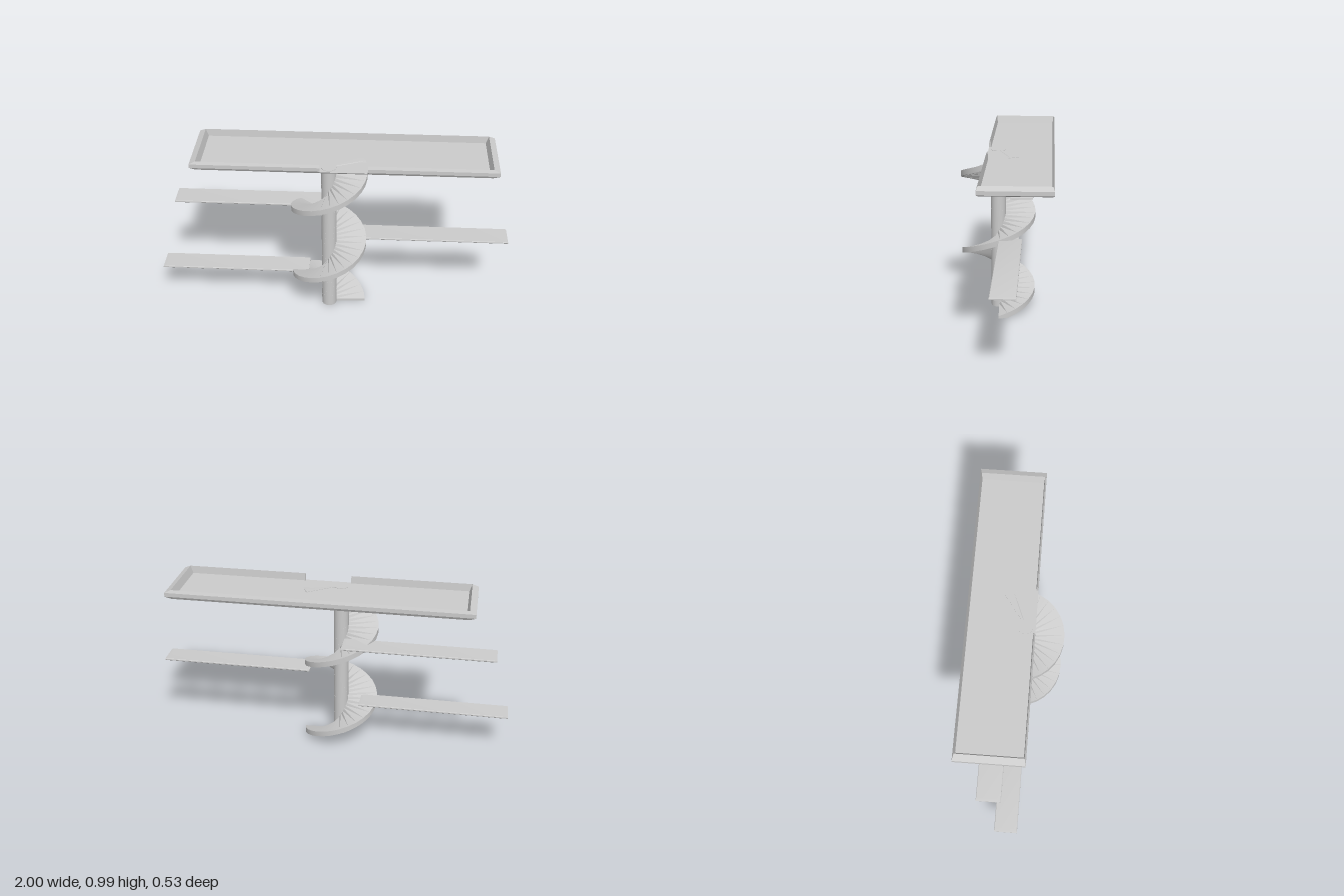
import * as THREE from 'three';
import { toCreasedNormals } from 'three/addons/utils/BufferGeometryUtils.js';

const material = new THREE.MeshStandardMaterial({ color: 0xcccccc, side: THREE.DoubleSide });
const CX = -0.022, CZ = 0.052; // stair axis

// Skin a stack of equal-length rings and close both ends.
function loft(rings, crease = 0.4) {
  const n = rings[0].length, last = (rings.length - 1) * n, index = [];
  for (let k = 0; k < rings.length - 1; k++) {
    for (let j = 0; j < n; j++) {
      const a = k * n + j, b = k * n + (j + 1) % n;
      index.push(a, b, b + n, a, b + n, a + n);
    }
  }
  for (let j = 1; j < n - 1; j++) {
    index.push(0, j + 1, j);
    index.push(last, last + j, last + j + 1);
  }
  const geometry = new THREE.BufferGeometry();
  geometry.setAttribute('position', new THREE.Float32BufferAttribute(rings.flat(2), 3));
  geometry.setIndex(index);
  return toCreasedNormals(geometry, crease);
}

function addMesh(parent, name, geometry) {
  const mesh = new THREE.Mesh(geometry, material);
  mesh.name = name;
  parent.add(mesh);
  return mesh;
}

// Rectangular ring inset from the given bounds, with an optional gap in the front edge.
function rectRing([x0, x1, z0, z1], dx, dz, y, gap) {
  const ring = [[x0 + dx, y, z0 + dz], [x0 + dx, y, z1 - dz]];
  if (gap) {
    const low = Math.min(y, gap.y), z = z1 - dz;
    ring.push([gap.x0, y, z], [gap.x0, low, z], [gap.x1, low, z], [gap.x1, y, z]);
  }
  ring.push([x1 - dx, y, z1 - dz], [x1 - dx, y, z0 + dz]);
  return ring;
}

export function createModel() {
  const model = new THREE.Group();
  model.name = 'spiralStairPlatform';

  // Column: stacked drums, each turned a little further than the one below
  const column = new THREE.Group();
  column.name = 'column';
  const drums = 27, drumHeight = 0.947 / drums;
  for (let i = 0; i < drums; i++) {
    const drum = addMesh(column, 'columnDrum',
      new THREE.CylinderGeometry(0.043, 0.043, drumHeight, 16));
    drum.position.set(CX, (i + 0.5) * drumHeight, CZ);
    drum.rotation.y = i * 0.48;
  }
  model.add(column);

  // Spiral ramp: a thick strip winding a little over two turns
  const rings = [], start = 3, end = 755, steps = 56;
  for (let i = 0; i <= steps; i++) {
    const degrees = start + (end - start) * i / steps;
    const a = THREE.MathUtils.degToRad(degrees);
    const mid = degrees / 360 * 0.46 - 0.005;
    const low = THREE.MathUtils.clamp(mid - 0.016, 0, 0.947);
    const high = THREE.MathUtils.clamp(mid + 0.016, 0, 0.947);
    const at = (r, y) => [CX + r * Math.cos(a), y, CZ - r * Math.sin(a)];
    rings.push([at(0.03, low), at(0.03, high), at(0.213, high), at(0.213, low)]);
  }
  addMesh(model, 'spiralRamp', loft(rings, 0.3));

  // Top platform: shallow tray with bevelled rim, open where the stair arrives
  const bounds = [-0.78, 0.9, -0.265, 0.107];
  const gap = { x0: -0.07, x1: 0.19, y: 0.945 };
  const levels = [
    [0.035, 0.008, 0.935], [0, 0, 0.949], [0, 0, 0.971],
    [0.035, 0.008, 0.987], [0.05, 0.012, 0.945],
  ];
  addMesh(model, 'topPlatform',
    loft(levels.map(([dx, dz, y]) => rectRing(bounds, dx, dz, y, gap))));

  // Landings: thin bevelled planks leading away from the ramp
  const landings = [
    ['lowerRightLanding', -1, -0.14, -0.05, 0.08, 0.241],
    ['leftLanding', 0.14, 1, -0.09, 0.043, 0.465],
    ['upperRightLanding', -0.91, -0.05, -0.146, -0.012, 0.646],
  ];
  for (const [name, x0, x1, z0, z1, y] of landings) {
    const box = [x0, x1, z0, z1];
    addMesh(model, name, loft([
      rectRing(box, 0.018, 0.003, y - 0.006),
      rectRing(box, 0, 0, y - 0.003),
      rectRing(box, 0, 0, y + 0.003),
      rectRing(box, 0.018, 0.003, y + 0.006),
    ]));
  }
  return model;
}
